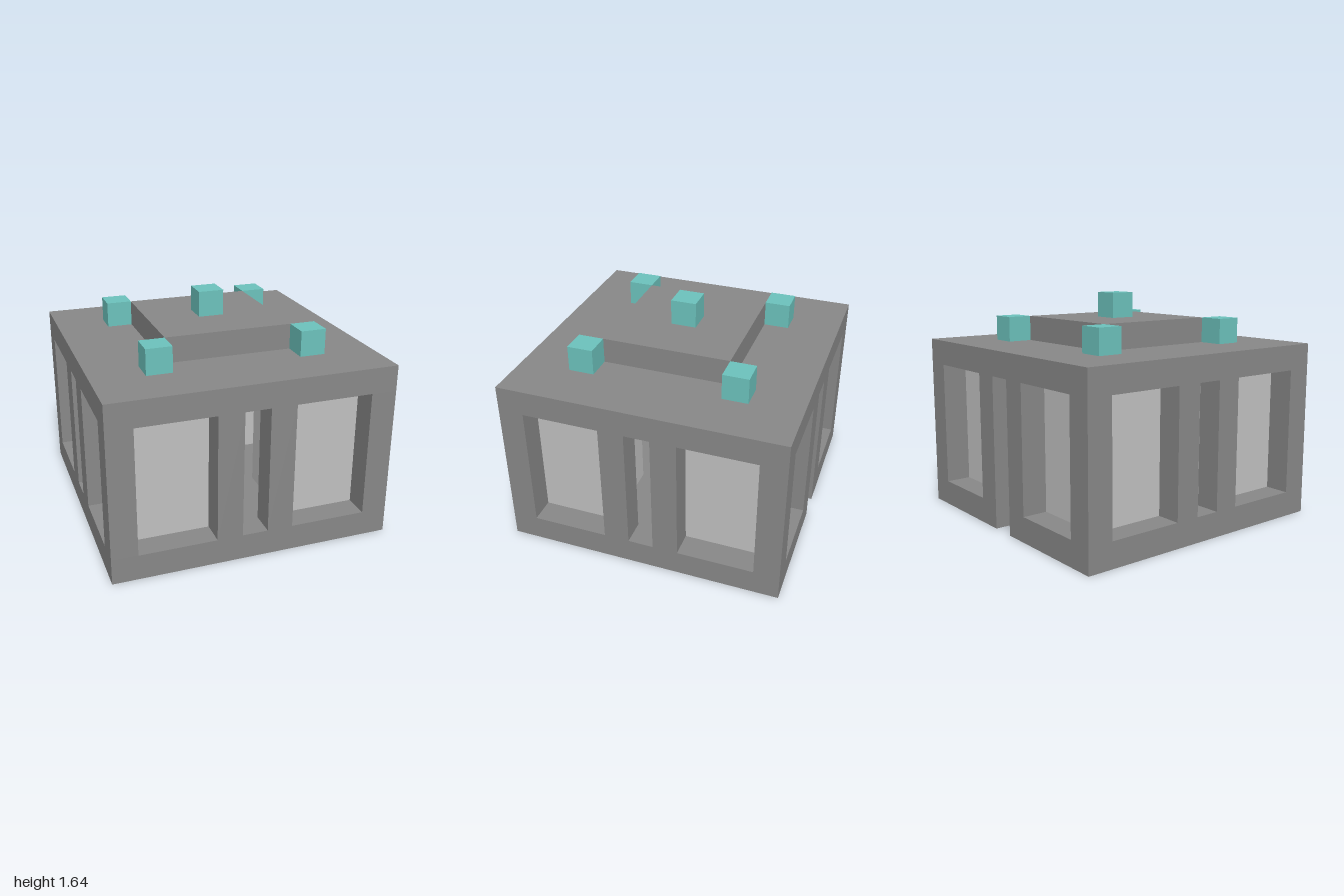
import * as THREE from 'three';

const U = 1 / 11; // one building block

export function createModel() {
  const stone = new THREE.MeshStandardMaterial({ color: 0x888888 });
  stone.name = 'dark grey stone';
  const panel = new THREE.MeshStandardMaterial({ color: 0xc0c0c0 });
  panel.name = 'light grey panel';
  const teal = new THREE.MeshStandardMaterial({ color: 0x6cc2bc });
  teal.name = 'teal';

  const model = new THREE.Group();
  model.name = 'pavilion';

  // Box given by its size, centre and base height, all in blocks
  function box(name, material, [w, h, d], [x, base, z], parent = model) {
    const mesh = new THREE.Mesh(new THREE.BoxGeometry(w * U, h * U, d * U), material);
    mesh.position.set(x * U, (base + h / 2) * U, z * U);
    mesh.name = name;
    parent.add(mesh);
    return mesh;
  }

  // Floor slab with a doorway notch at the back and four square openings
  const outline = [[-11, -11], [11, -11], [11, 11], [1, 11], [1, 9], [-1, 9], [-1, 11], [-11, 11]];
  const floorShape = new THREE.Shape(outline.map(([x, y]) => new THREE.Vector2(x * U, y * U)));
  for (const sx of [-6, 6]) for (const sy of [-6, 6]) {
    const corners = [[-3, -3], [-3, 3], [3, 3], [3, -3]];
    floorShape.holes.push(new THREE.Path(
      corners.map(([x, y]) => new THREE.Vector2((sx + x) * U, (sy + y) * U))));
  }
  const floorGeometry = new THREE.ExtrudeGeometry(floorShape, { depth: 2 * U, bevelEnabled: false });
  floorGeometry.rotateX(-Math.PI / 2);
  const floor = new THREE.Mesh(floorGeometry, stone);
  floor.name = 'floor';
  model.add(floor);

  // Roof slab, raised platform and the block hanging in the middle
  box('roof', stone, [22, 2, 22], [0, 12, 0]);
  box('roofPlatform', stone, [10, 2, 10], [0, 14, 0]);
  box('hangingBlock', stone, [2, 4, 2], [0, 8, 0]);
  box('topBlock', teal, [2, 2, 2], [0, 16, 0]);

  // Corner posts, inner rooms and roof blocks in each quarter
  for (const sx of [-1, 1]) for (const sz of [-1, 1]) {
    box('cornerPost', stone, [2, 10, 2], [10 * sx, 2, 10 * sz]);
    box('innerRoom', panel, [6, 10, 6], [6 * sx, 2, 6 * sz]);
    box('roofBlock', teal, [2, 2, 2], [6 * sx, 14, 6 * sz]);
  }

  // A pair of posts frames the slot on each side
  for (let i = 0; i < 4; i++) {
    const side = new THREE.Group();
    side.name = 'slotPosts';
    for (const s of [-1, 1]) box('slotPost', stone, [2, 10, 2], [2 * s, 2, 10], side);
    side.rotation.y = i * Math.PI / 2;
    model.add(side);
  }

  return model;
}
